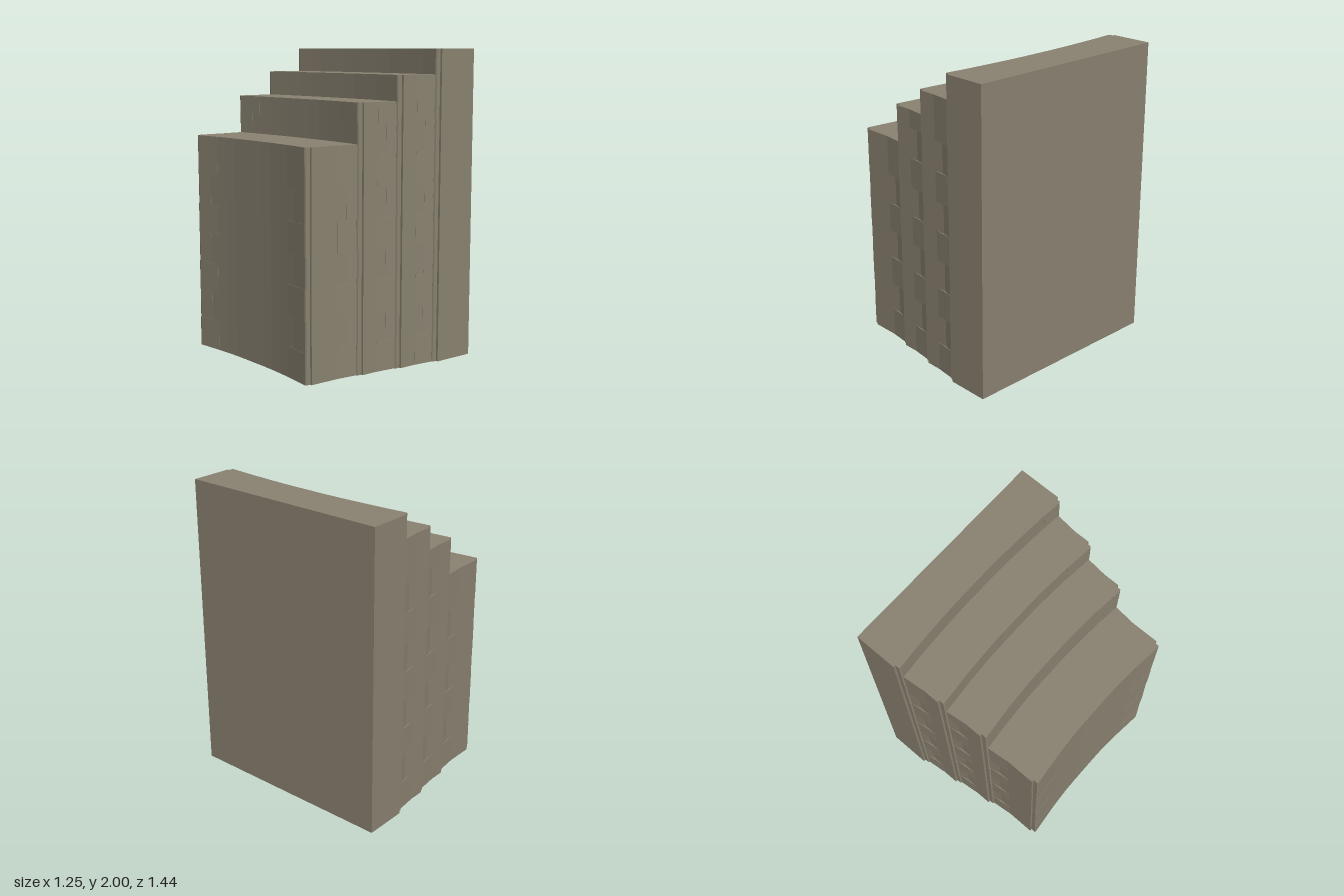
import * as THREE from 'three';

const stone = new THREE.MeshStandardMaterial({ color: 0x8a8271 });
stone.name = 'stone';

// Tiers from lowest to tallest: concave face x, far x, half depth, height
const TIERS = [
  { x0: -0.597, x1: -0.228, d: 0.60, h: 1.43 },
  { x0: -0.228, x1: 0.054, d: 0.64, h: 1.68 },
  { x0: 0.054, x1: 0.339, d: 0.68, h: 1.84 },
  { x0: 0.339, x1: 0.622, d: 0.72, h: 2.0 },
];
const COURSE = 0.195;

// Vertical prism from a footprint of [x, z] points
function prism(name, points, y0, y1) {
  const shape = new THREE.Shape(points.map(([x, z]) => new THREE.Vector2(x, -z)));
  const geo = new THREE.ExtrudeGeometry(shape, { depth: y1 - y0, bevelEnabled: false });
  geo.rotateX(-Math.PI / 2);
  geo.translate(0, y0, 0);
  const mesh = new THREE.Mesh(geo, stone);
  mesh.name = name;
  return mesh;
}

// How far the concave face sweeps out at depth z
function sweep(z, end) {
  const t = Math.max(0, (Math.abs(z) - 0.15) / (end - 0.15));
  return 0.029 * Math.pow(t, 1.3);
}

function buildTier({ x0, x1, d, h }, index) {
  const tier = new THREE.Group();
  tier.name = 'tier' + (index + 1);
  const end = d - 0.018;

  // Main block with its concave face
  const outline = [[x1, -d], [x1, d], [x0, d], [x0, end]];
  for (let i = 0; i <= 12; i++) {
    const z = end * (1 - i / 6);
    outline.push([x0 - sweep(z, end), z]);
  }
  outline.push([x0, -end], [x0, -d]);
  tier.add(prism('block', outline, 0, h));

  // Corner stones in courses, alternately long and short
  const courses = Math.round(h / COURSE);
  for (let c = 0; c < courses; c++) {
    const y0 = c * COURSE;
    const top = c === courses - 1;
    const y1 = top ? h : y0 + COURSE;
    const long = c % 2 === 0;
    for (const s of [-1, 1]) {
      const zIn = s * (long ? end - 0.2 : end - 0.13);
      const zOut = s * end;
      const a = x0 - sweep(zIn, end);
      const b = x0 - 0.029;
      const out = long ? 0.005 : 0.003;
      tier.add(prism('cornerStone', [
        [a + 0.01, zIn], [a - 0.001, zIn], [b - out, zOut - s * 0.006],
        [b - out + 0.004, zOut + s * 0.003], [x0, zOut + s * 0.003],
      ], y0, y1));

      // Wedge stones flaring toward the next tier
      if (index < 3) {
        const start = x1 - (long ? 0.17 : 0.10);
        tier.add(prism('wedgeStone', [
          [start, s * (d - 0.01)], [start, s * (d + 0.001)],
          [x1 - 0.03, s * (d + 0.016)], [x1, s * (d + 0.018)], [x1, s * (d - 0.01)],
        ], y0, y1));
      }
    }
  }
  return tier;
}

export function createModel() {
  const model = new THREE.Group();
  model.name = 'steppedStoneBlock';
  TIERS.forEach((t, i) => model.add(buildTier(t, i)));
  return model;
}
